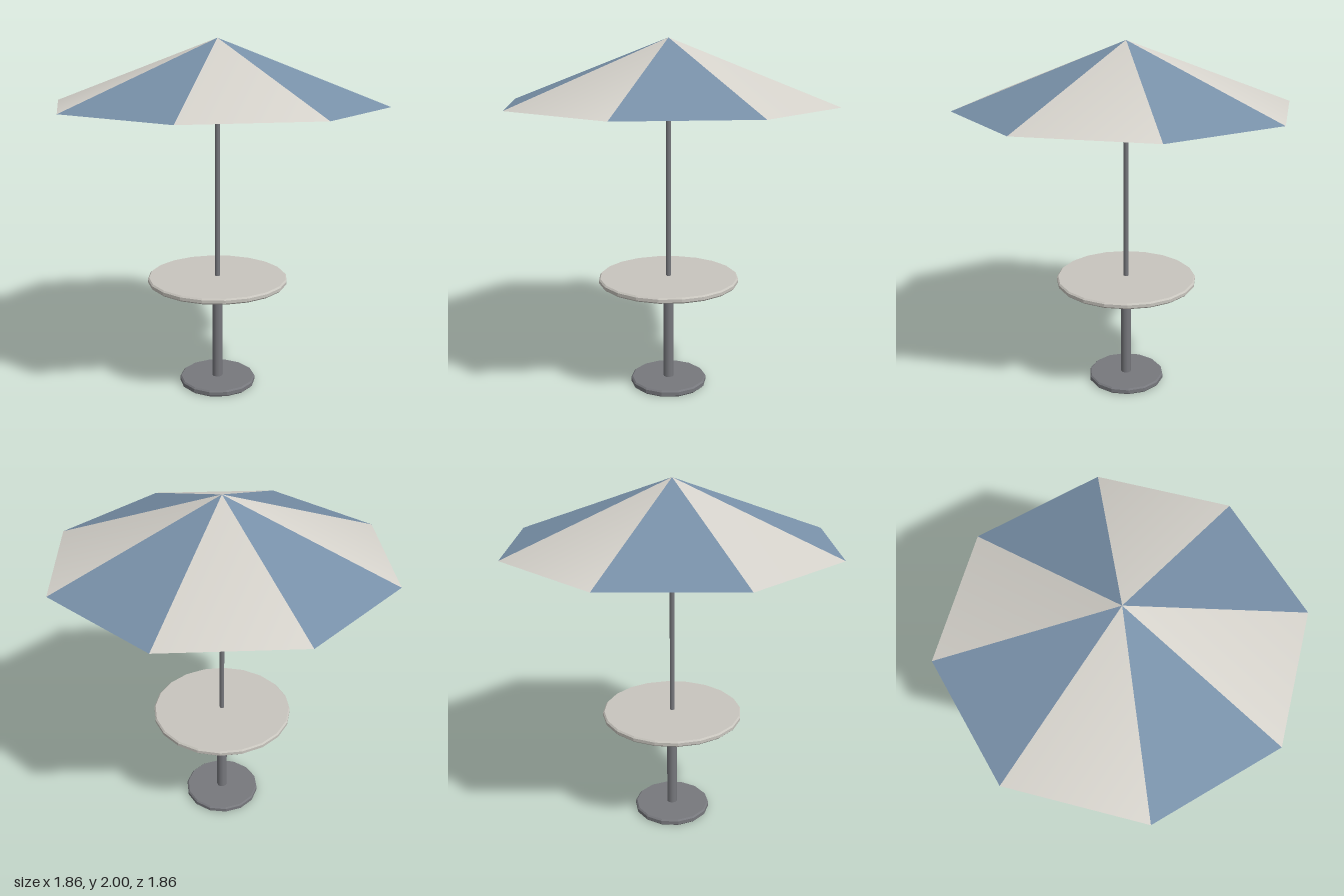
import * as THREE from 'three';

const mat = (color, extra = {}) => new THREE.MeshStandardMaterial({ color, ...extra });

export function createModel() {
  const model = new THREE.Group();
  model.name = 'parasolTable';
  const metal = mat(0x77787d);
  const metalFlat = mat(0x77787d, { flatShading: true });
  const tableTop = mat(0xc8c5be, { flatShading: true });
  const cream = mat(0xd5d2cb, { side: THREE.DoubleSide });
  const blue = mat(0x7890a8, { side: THREE.DoubleSide });

  const add = (name, geometry, material) => {
    const mesh = new THREE.Mesh(geometry, material);
    mesh.name = name;
    model.add(mesh);
    return mesh;
  };

  // Faceted disc with a chamfered rim
  const disc = (name, r, y0, y1, sides, material) => {
    const c = 0.008;
    const profile = [[0, y0], [r - c, y0], [r, y0 + c], [r, y1 - c], [r - c, y1], [0, y1]]
      .map(([x, y]) => new THREE.Vector2(x, y));
    add(name, new THREE.LatheGeometry(profile, sides), material);
  };

  // Upright post between two heights
  const post = (name, r, y0, y1, sides) => {
    const geometry = new THREE.CylinderGeometry(r, r, y1 - y0, sides);
    geometry.translate(0, (y0 + y1) / 2, 0);
    return add(name, geometry, metal);
  };

  disc('base', 0.222, 0, 0.037, 14, metalFlat);
  post('tablePost', 0.03, 0.03, 0.635, 10);
  disc('tableTop', 0.402, 0.627, 0.66, 20, tableTop);
  post('parasolPole', 0.014, 0.65, 1.97, 8);

  // Eight open triangular canopy panels: softly shaded cream, flat blue
  const radius = 0.93, rim = 1.65, peak = 2, panels = 8;
  const canopy = new THREE.Group();
  canopy.name = 'canopy';
  model.add(canopy);
  const around = (a, r, y) => new THREE.Vector3(Math.sin(a) * r, y, Math.cos(a) * r);
  for (let i = 0; i < panels; i++) {
    const a = (i / panels) * Math.PI * 2;
    const b = ((i + 1) / panels) * Math.PI * 2;
    const isBlue = i % 2 === 1;
    const geometry = new THREE.BufferGeometry().setFromPoints(
      [new THREE.Vector3(0, peak, 0), around(a, radius, rim), around(b, radius, rim)]);
    if (isBlue) {
      geometry.computeVertexNormals();
    } else {
      const normals = [a, a, b].flatMap((t) => around(t, peak - rim, radius).normalize().toArray());
      geometry.setAttribute('normal', new THREE.Float32BufferAttribute(normals, 3));
    }
    const panel = new THREE.Mesh(geometry, isBlue ? blue : cream);
    panel.name = isBlue ? 'bluePanel' : 'creamPanel';
    canopy.add(panel);
  }
  return model;
}
